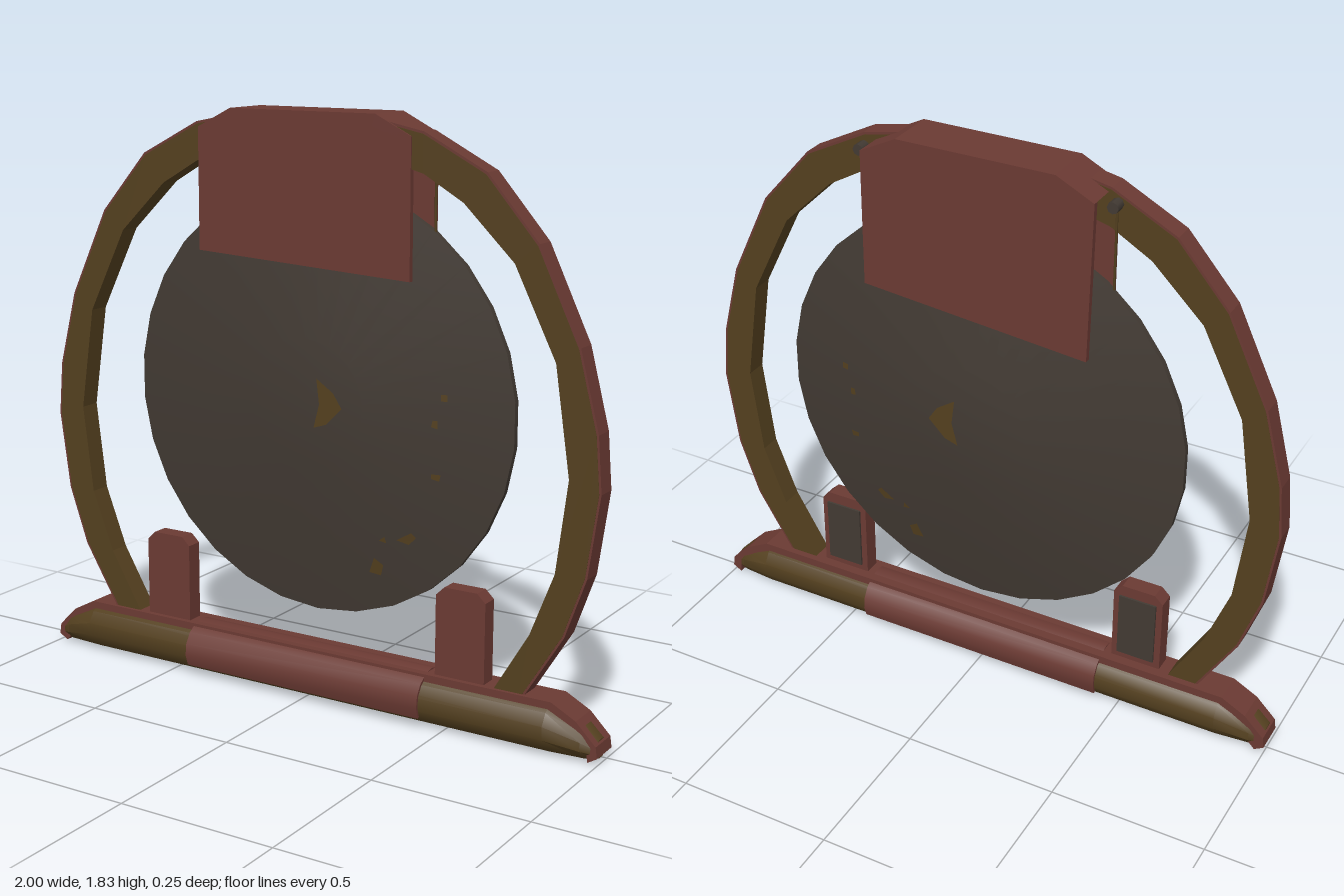
import * as THREE from 'three';
import { toCreasedNormals } from 'three/addons/utils/BufferGeometryUtils.js';

const mat = (name, color, side = THREE.FrontSide) => {
  const m = new THREE.MeshStandardMaterial({ color, side });
  m.name = name;
  return m;
};

export function createModel() {
  const red = mat('red brown wood', 0x6b3a33, THREE.DoubleSide);
  const olive = mat('olive wood', 0x54401f, THREE.DoubleSide);
  const grey = mat('dark bronze', 0x423a33);
  const root = new THREE.Group();
  root.name = 'standingGong';

  const add = (name, geo, material, x = 0, y = 0, z = 0) => {
    const m = new THREE.Mesh(geo, material);
    m.name = name;
    m.position.set(x, y, z);
    root.add(m);
    return m;
  };
  const shape = (pts) => new THREE.Shape(pts.map(([x, y]) => new THREE.Vector2(x, y)));
  // flat outline in xy, given thickness between z0 and z1
  const slab = (pts, z0, z1) =>
    new THREE.ExtrudeGeometry(shape(pts), { depth: z1 - z0, bevelEnabled: false }).translate(0, 0, z0);
  const mirrorX = (pts) => pts.map(([x, y]) => [-x, y]).reverse();

  // Ring: olive body with a red outer band
  const outerHalf = [[0.74, 0.14], [0.88, 0.37], [0.945, 0.556], [0.98, 0.81], [0.966, 0.98],
    [0.904, 1.22], [0.77, 1.5], [0.604, 1.69], [0.4, 1.795], [0.25, 1.825]];
  const innerHalf = [[0.64, 0.14], [0.77, 0.36], [0.845, 0.556], [0.88, 0.84], [0.83, 1.17],
    [0.695, 1.44], [0.53, 1.6], [0.4, 1.675], [0.2, 1.73]];
  const outer = [...outerHalf, ...mirrorX(outerHalf)];
  const inner = [...innerHalf, ...mirrorX(innerHalf)];
  const inset = outer.map(([x, y]) => [x * 0.993, 0.8 + (y - 0.8) * 0.993]);
  add('ring', slab([...inset, ...inner.slice().reverse()], -0.01, 0.06), olive);
  add('ringOuterBand', slab([...outer, ...inset.slice().reverse()], -0.009, 0.059), red);

  // Gong: double cone disc with flat centres on both sides
  const gongY = 0.957, R = 0.677, r0 = 0.2;
  const front = 0.063, back = -0.124, rimFront = -0.008, rimBack = -0.028;
  const profile = [[0, back], [r0, back], [R, rimBack], [R, rimFront], [r0, front], [0, front]]
    .map(([x, y]) => new THREE.Vector2(x, y));
  const gong = new THREE.LatheGeometry(profile, 30).rotateX(Math.PI / 2);
  add('gong', toCreasedNormals(gong, 0.3), grey, 0, gongY, 0);

  // Worn patches laid on both faces of the gong
  const patches = [
    [[0.03, 0.885], [0.075, 0.9], [0.13, 0.955], [0.1, 1.0], [0.04, 1.04], [0.05, 0.96]],
    [[0.45, 1.01], [0.47, 1.01], [0.47, 1.03], [0.45, 1.03]],
    [[0.42, 0.93], [0.44, 0.925], [0.44, 0.95], [0.425, 0.95]],
    [[0.42, 0.77], [0.445, 0.765], [0.45, 0.785], [0.42, 0.785]],
    [[0.3, 0.56], [0.34, 0.55], [0.365, 0.575], [0.35, 0.59]],
    [[0.24, 0.55], [0.265, 0.545], [0.26, 0.565]],
    [[0.2, 0.44], [0.24, 0.435], [0.25, 0.47], [0.22, 0.49]],
  ];
  for (const [faceName, centre, rim, lift] of [['front', front, rimFront, 0.003], ['back', back, rimBack, -0.003]]) {
    for (const pts of patches) {
      const g = new THREE.ShapeGeometry(shape(pts));
      const p = g.attributes.position;
      for (let i = 0; i < p.count; i++) {
        const r = Math.hypot(p.getX(i), p.getY(i) - gongY);
        const t = Math.max(0, (r - r0) / (R - r0));
        p.setZ(i, centre + (rim - centre) * t + lift);
      }
      g.computeVertexNormals();
      add(faceName + 'Patch', g, olive);
    }
  }

  // Cover draped over the top of the ring
  const top = [[0.36, 1.78], [0.24, 1.84], [-0.27, 1.84], [-0.39, 1.78]];
  add('coverFront', slab([[-0.39, 1.4], [0.36, 1.36], ...top], 0.048, 0.065), red);
  add('coverBack', slab([[-0.38, 1.28], [0.36, 1.35], ...top], -0.1, -0.082), red);
  add('coverTop', slab([...top, [-0.37, 1.765], [-0.26, 1.805], [0.23, 1.805], [0.34, 1.765]], -0.1, 0.065), red);

  // Pegs and hanging cords
  for (const x of [-0.42, 0.4]) {
    add('peg', new THREE.CylinderGeometry(0.018, 0.018, 0.05, 8).rotateX(Math.PI / 2), grey, x, 1.752, -0.022);
    add('cord', new THREE.CylinderGeometry(0.004, 0.004, 0.27, 5), olive, x, 1.62, -0.015);
  }

  // Base log: rounded bar lofted along x with tapered ends
  const rings = [[-0.99, 0.045, 0.03, 0.045], [-0.95, 0.06, 0.053, 0.065], [-0.84, 0.085, 0.08, 0.088],
    [0.84, 0.085, 0.08, 0.088], [0.95, 0.06, 0.053, 0.065], [0.99, 0.045, 0.03, 0.045]];
  const N = 12, baseZ = 0.023, verts = [], idx = [];
  rings.forEach(([x, cy, ry, rz], k) => {
    for (let i = 0; i < N; i++) {
      const a = ((i + 0.5) / N) * Math.PI * 2;
      verts.push(x, cy + Math.sin(a) * ry, baseZ + Math.cos(a) * rz);
      const a0 = k * N + i, a1 = k * N + ((i + 1) % N);
      if (k < rings.length - 1) idx.push(a0, a0 + N, a1, a1, a0 + N, a1 + N);
    }
  });
  for (let i = 1; i < N - 1; i++) {
    const e = (rings.length - 1) * N;
    idx.push(0, i, i + 1, e, e + i + 1, e + i);
  }
  let log = new THREE.BufferGeometry();
  log.setAttribute('position', new THREE.Float32BufferAttribute(verts, 3));
  log.setIndex(idx);
  // orient every face outward from the log's axis
  const box = log.toNonIndexed();
  box.computeVertexNormals();
  const bp = box.attributes.position, bn = box.attributes.normal;
  let sum = 0;
  for (let i = 0; i < bp.count; i++) sum += bn.getY(i) * (bp.getY(i) - 0.08) + bn.getZ(i) * (bp.getZ(i) - baseZ);
  if (sum < 0) {
    for (let i = 0; i < idx.length; i += 3) [idx[i], idx[i + 1]] = [idx[i + 1], idx[i]];
    log.setIndex(idx);
  }
  add('baseLog', toCreasedNormals(log, 0.6), olive);

  // Red rail along the top of the log, wrapping down over both ends
  const railHalf = [[0.97, 0.012], [1.0, 0.03], [0.995, 0.065], [0.93, 0.13], [0.85, 0.172]];
  const railUnder = [[0.84, 0.145], [0.91, 0.11], [0.965, 0.055]];
  add('baseRail', slab([...railHalf, ...mirrorX(railHalf), ...mirrorX(railUnder).reverse(), ...railUnder.slice()]
    .filter((p, i, all) => i === 0 || p !== all[i - 1]), -0.032, 0.072), red);

  // Sleeve around the middle of the log, open underneath
  const arc = (rz, ry) => Array.from({ length: 11 }, (_, i) => {
    const a = -0.5 + (i / 10) * (Math.PI + 1);
    return [Math.cos(a) * rz, 0.085 + Math.sin(a) * ry];
  });
  const sleeve = slab([...arc(0.097, 0.092), ...arc(0.089, 0.083).reverse()], -0.43, 0.43).rotateY(Math.PI / 2);
  add('baseSleeve', toCreasedNormals(sleeve, 0.6), red, 0, 0, baseZ);

  // Side posts with dark panels on the back
  for (const s of [-1, 1]) {
    const x = s * 0.54;
    add('post', slab([[-0.083, 0.165], [0.083, 0.165], [0.083, 0.425], [0.055, 0.452],
      [-0.055, 0.452], [-0.083, 0.425]], 0, 0.055), red, x);
    add('postPanel', new THREE.BoxGeometry(0.125, 0.22, 0.008), grey, x, 0.305, -0.003);
  }
  return root;
}
